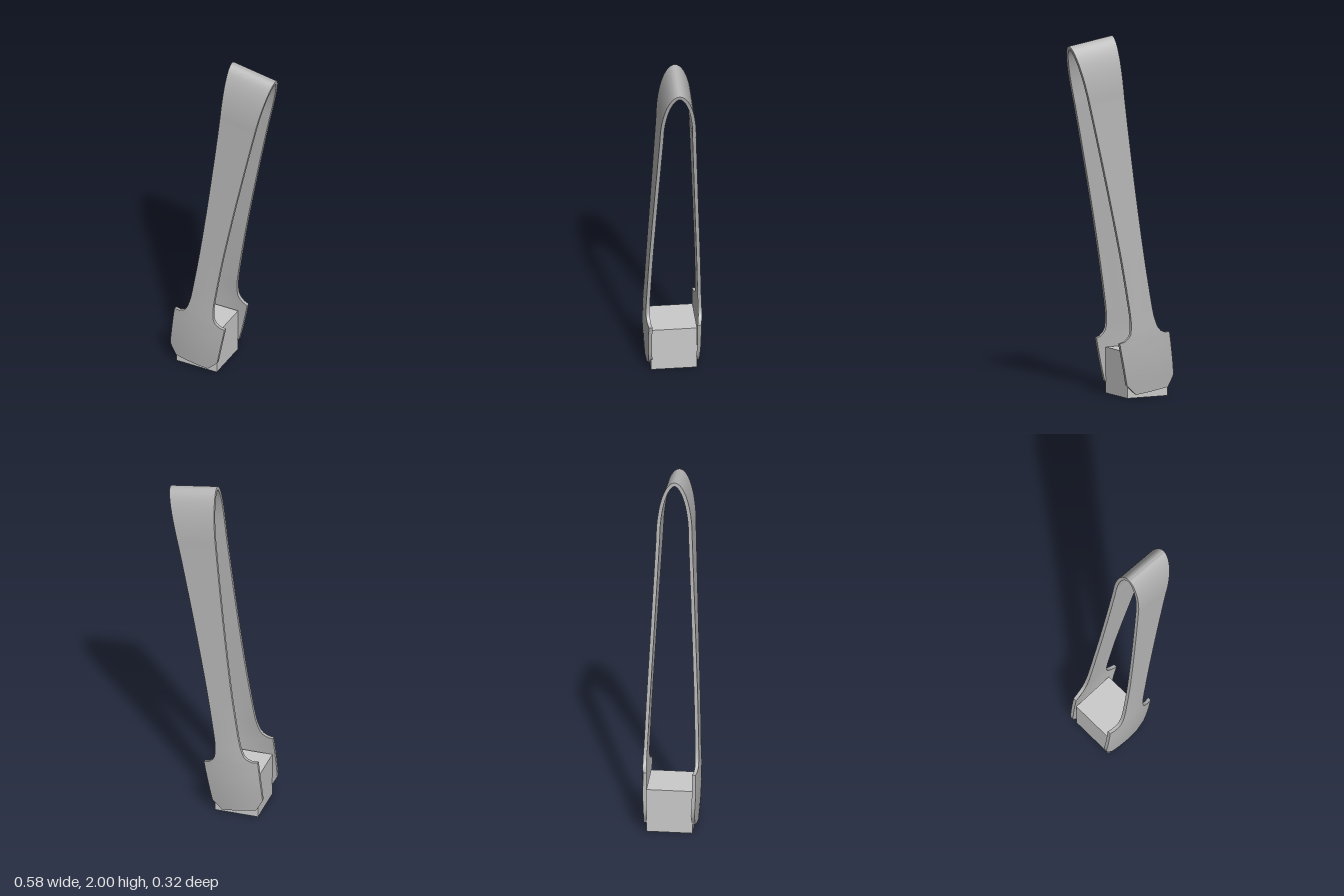
import * as THREE from 'three';
import { toCreasedNormals } from 'three/addons/utils/BufferGeometryUtils.js';

const TILT = THREE.MathUtils.degToRad(9);
const THICK = 0.02;
const ARCH_V = 1.65;   // height where the arms run into the arch
const ARCH_H = 0.33;
const ARCH_Z = 0.1;
const SIDE = 8;        // subdivisions across the strip

// [height, half width] of the gripping pad and its shoulder
const padOutline = [
  [0.01, 0.1], [0.04, 0.124], [0.071, 0.147], [0.13, 0.15], [0.19, 0.1525], [0.25, 0.155],
  [0.312, 0.157], [0.317, 0.126], [0.333, 0.1], [0.352, 0.086], [0.38, 0.078],
];
// [height, half width] of the arm, up to the top of the arch
const armOutline = new THREE.SplineCurve([
  [0.38, 0.078], [0.434, 0.071], [0.541, 0.069], [0.8, 0.071], [1.2, 0.085],
  [1.68, 0.11], [1.98, 0.136],
].map(([v, w]) => new THREE.Vector2(v, w))).getPoints(60);

// outward position of the strip's outer face below the arch
const padDepth = new THREE.SplineCurve([
  [0.01, 0.15], [0.15, 0.16], [0.3, 0.161], [0.45, 0.154],
].map(([v, z]) => new THREE.Vector2(v, z))).getPoints(24);

function lookUp(points, v) {
  for (let i = 1; i < points.length; i++) {
    const a = points[i - 1], b = points[i];
    if (v <= b.x) return a.y + (b.y - a.y) * Math.max(0, (v - a.x) / (b.x - a.x));
  }
  return points[points.length - 1].y;
}

function armDepth(v) {
  return v < 0.45 ? lookUp(padDepth, v) : ARCH_Z + (ARCH_V - v) * 0.045;
}

// stations from the foot of the front arm, over the arch, to the foot of the back arm
function makeStations() {
  const half = padOutline.map(([v, w]) => ({ v, w, z: armDepth(v) }));
  for (const p of armOutline) {
    if (p.x > 0.39 && p.x < ARCH_V - 0.01) half.push({ v: p.x, w: p.y, z: armDepth(p.x) });
  }
  for (let i = 0; i <= 24; i++) {
    const t = (i / 24) * Math.PI / 2;
    const v = ARCH_V + ARCH_H * Math.sin(t);
    half.push({ v, w: lookUp(armOutline, v), z: i === 24 ? 0 : ARCH_Z * Math.cos(t) });
  }
  const back = half.slice(0, -1).reverse().map((s) => ({ ...s, z: -s.z }));
  return [...half, ...back];
}

// bent metal strip: closed rings of outer and inner points joined along the stations
function tongsGeometry() {
  const st = makeStations();
  const positions = [], index = [];
  const ring = 2 * (SIDE + 1);

  st.forEach((s, i) => {
    const a = st[Math.max(0, i - 1)], b = st[Math.min(st.length - 1, i + 1)];
    const dv = b.v - a.v, dz = b.z - a.z, len = Math.hypot(dv, dz);
    const nv = -dz / len, nz = dv / len; // outward normal of the path
    // the pads are dished across their width, fading out up the arm
    const dish = 0.65 * (1 - THREE.MathUtils.smoothstep(s.v, 0.35, 0.8));
    for (let k = 0; k < ring; k++) {
      const inner = k > SIDE;
      const j = inner ? ring - 1 - k : k;
      const u = s.w * (2 * j / SIDE - 1);
      const drop = dish * u * u * Math.sign(s.z);
      const off = inner ? THICK : 0;
      positions.push(u, s.v - nv * off, s.z - drop - nz * off);
    }
  });

  const quad = (a, b, c, d) => index.push(a, b, c, a, c, d);
  for (let i = 0; i < st.length - 1; i++) {
    for (let k = 0; k < ring; k++) {
      const n = (k + 1) % ring, r0 = i * ring, r1 = r0 + ring;
      quad(r0 + k, r0 + n, r1 + n, r1 + k);
    }
  }
  // end caps
  const e = (st.length - 1) * ring;
  for (let j = 0; j < SIDE; j++) {
    const o = j, o1 = j + 1, n = ring - 1 - j, n1 = ring - 2 - j;
    quad(o, n, n1, o1);
    quad(e + o, e + o1, e + n1, e + n);
  }

  const geo = new THREE.BufferGeometry();
  geo.setAttribute('position', new THREE.Float32BufferAttribute(positions, 3));
  geo.setIndex(index);
  geo.translate(-0.157, 0, 0);
  geo.rotateZ(-TILT);
  return toCreasedNormals(geo, 0.6);
}

export function createModel() {
  const metal = new THREE.MeshStandardMaterial({ color: 0xb4b4b4 });
  metal.name = 'satin metal';
  const sugar = new THREE.MeshStandardMaterial({ color: 0xcacaca });
  sugar.name = 'pale sugar';

  const model = new THREE.Group();
  model.name = 'sugarTongs';

  const tongs = new THREE.Mesh(tongsGeometry(), metal);
  tongs.name = 'tongs';

  const cube = new THREE.Mesh(new THREE.BoxGeometry(0.25, 0.255, 0.254), sugar);
  cube.name = 'sugarCube';
  cube.position.set(-0.133, 0.1275, 0);

  model.add(tongs, cube);
  return model;
}
